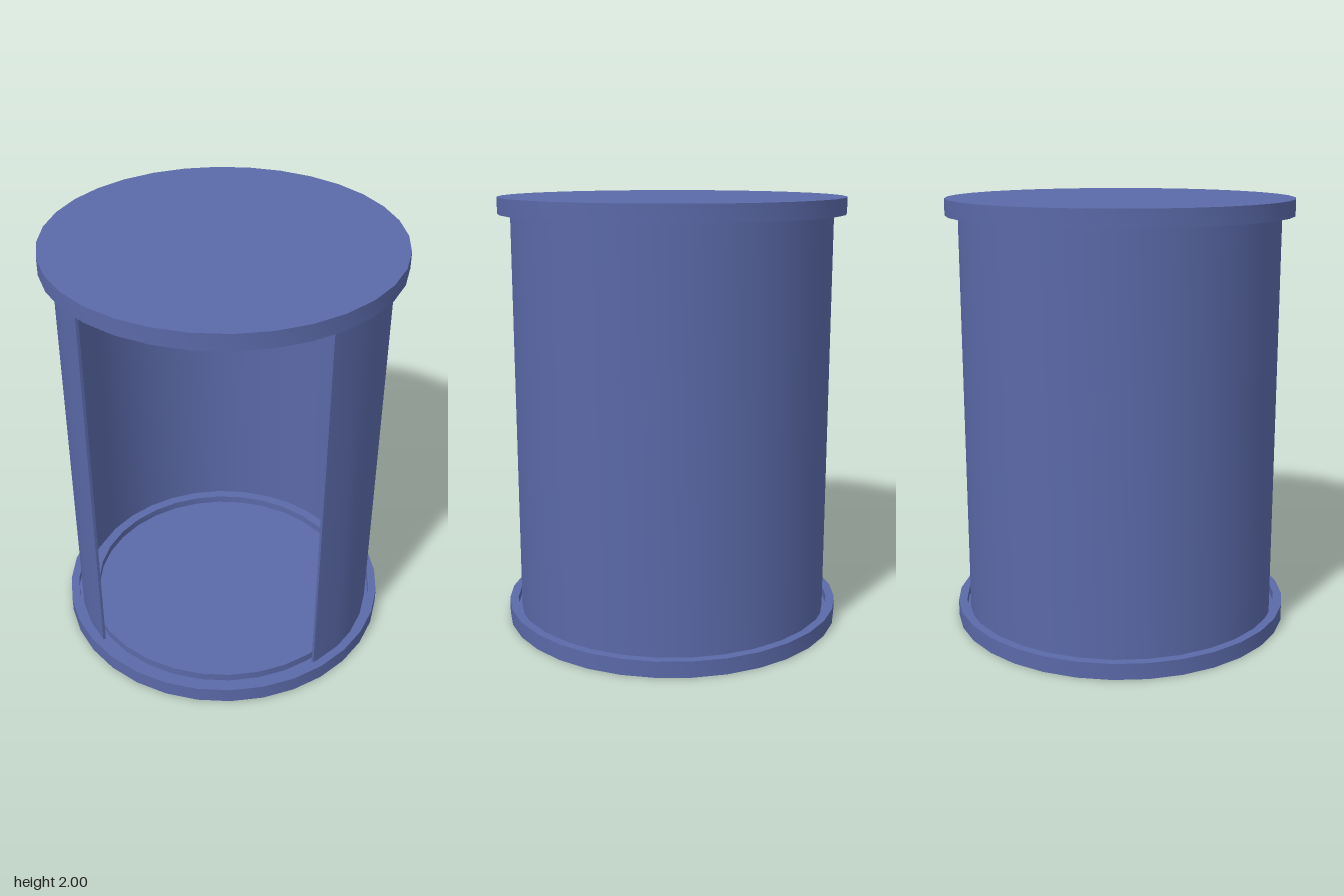
import * as THREE from 'three';
import { toCreasedNormals } from 'three/addons/utils/BufferGeometryUtils.js';

const SIDES = 32;

// Revolves a closed profile of [radius, height] points, keeping its corners sharp
function revolve(points, start = 0, sweep = Math.PI * 2) {
  const profile = points.map(([r, y]) => new THREE.Vector2(r, y));
  const segments = Math.round(SIDES * sweep / (Math.PI * 2));
  return toCreasedNormals(new THREE.LatheGeometry(profile, segments, start, sweep), 0.6);
}

export function createModel() {
  const model = new THREE.Group();
  model.name = 'openDrum';
  const blue = new THREE.MeshStandardMaterial({ color: 0x5a69a8 });
  blue.name = 'slate blue';

  const add = (parent, name, geometry, x = 0, y = 0, z = 0) => {
    const mesh = new THREE.Mesh(geometry, blue);
    mesh.name = name;
    mesh.position.set(x, y, z);
    parent.add(mesh);
    return mesh;
  };

  // Round cap: outer lip, groove for the wall, inner ring and recessed floor
  const T = 0.075, F = 0.037;
  const capGeometry = revolve([
    [0, 0], [0.795, 0], [0.795, T], [0.755, T], [0.755, F],
    [0.7, F], [0.7, T], [0.65, T], [0.65, F], [0, F],
  ]);
  add(model, 'baseCap', capGeometry);

  const lid = new THREE.Group();
  lid.name = 'lid';
  lid.position.y = 2;
  lid.rotation.x = Math.PI;
  model.add(lid);
  add(lid, 'lidCap', capGeometry);

  // Low ribs inside the lid recess
  for (const side of [-1, 1]) {
    add(lid, 'lidRib', new THREE.BoxGeometry(0.03, 0.036, 1.03), side * 0.395, 0.054, 0);
  }

  // Three-quarter wall, open between the front and the +x side
  const inner = 0.723, outer = 0.737, low = 0.038, high = 1.962;
  const wall = new THREE.Group();
  wall.name = 'wall';
  model.add(wall);
  add(wall, 'wallShell', revolve(
    [[inner, low], [outer, low], [outer, high], [inner, high], [inner, low]],
    Math.PI / 2, Math.PI * 1.5,
  ));

  // Faces closing the two cut edges of the wall
  const edge = new THREE.PlaneGeometry(outer - inner, high - low);
  const mid = (inner + outer) / 2;
  add(wall, 'sideWallEdge', edge, mid, 1, 0);
  add(wall, 'frontWallEdge', edge, 0, 1, mid).rotation.y = Math.PI / 2;

  return model;
}
